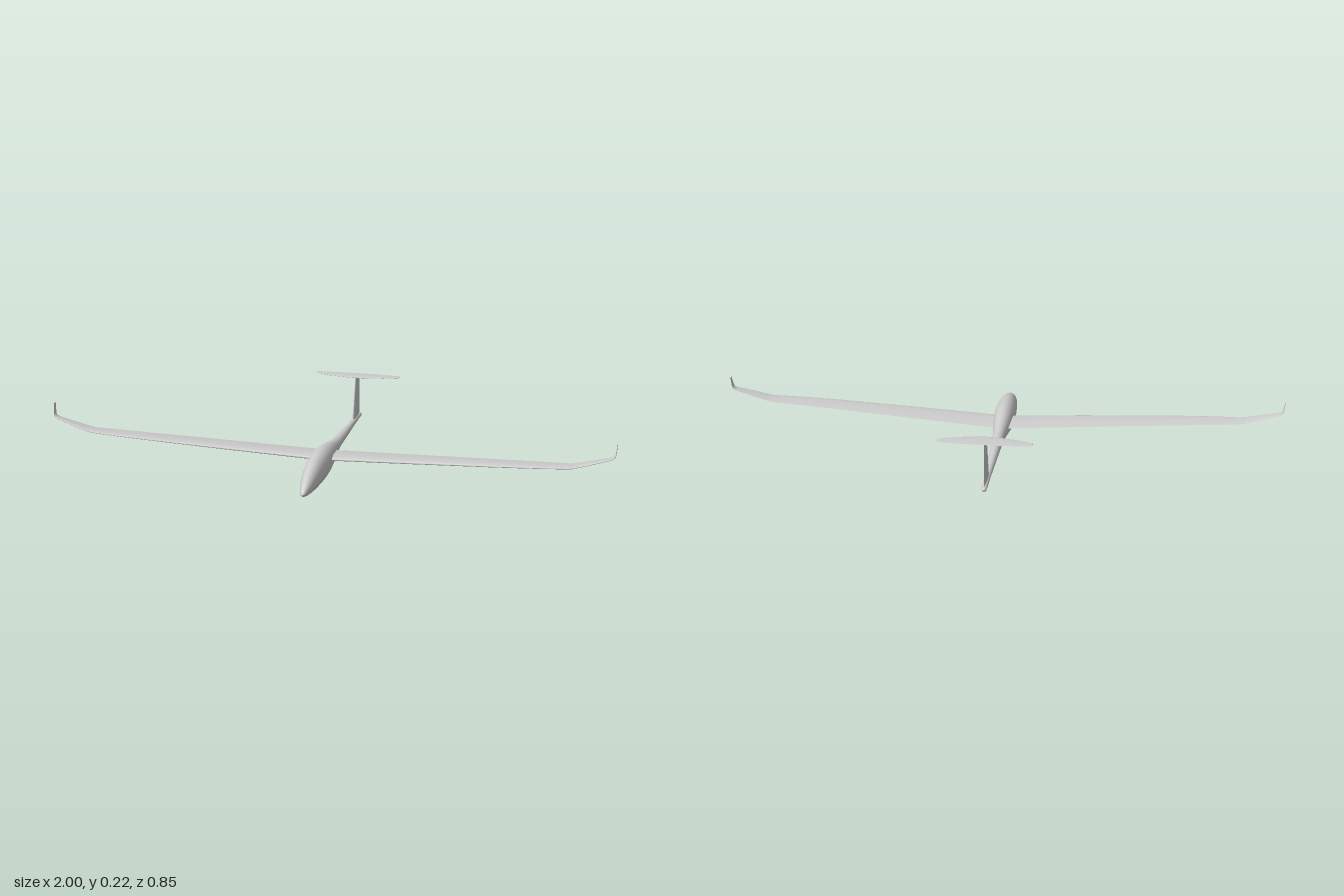
import * as THREE from 'three';

const material = new THREE.MeshStandardMaterial({ color: 0xcccccc, roughness: 0.7 });

// Skins a list of rings (each an array of [x, y, z]) and closes both ends
function loft(name, rings, closed) {
  const pos = [], idx = [];
  const n = rings[0].length;
  const steps = closed ? n : n - 1;
  rings.forEach(r => r.forEach(p => pos.push(...p)));
  for (let i = 0; i < rings.length - 1; i++) {
    for (let j = 0; j < steps; j++) {
      const a = i * n + j, b = i * n + (j + 1) % n;
      idx.push(a, b, a + n, b, b + n, a + n);
    }
  }
  // End caps have their own vertices, so their rims stay sharp
  [rings[0], rings[rings.length - 1]].forEach((ring, end) => {
    const base = pos.length / 3;
    ring.forEach(p => pos.push(...p));
    pos.push(...[0, 1, 2].map(k => ring.reduce((s, p) => s + p[k], 0) / n));
    for (let j = 0; j < steps; j++) {
      const a = base + j, b = base + (j + 1) % n;
      if (end) idx.push(base + n, a, b);
      else idx.push(base + n, b, a);
    }
  });
  const geo = new THREE.BufferGeometry();
  geo.setAttribute('position', new THREE.Float32BufferAttribute(pos, 3));
  geo.setIndex(idx);
  geo.computeVertexNormals();
  const mesh = new THREE.Mesh(geo, material);
  mesh.name = name;
  return mesh;
}

// Airfoil ring: trailing edge, over the top to the leading edge, back underneath.
// cant turns the section about z: 0 for a flat wing, PI / 2 for an upright fin.
function airfoil([x, y, lead, trail, thick, cant = 0]) {
  const ring = [], N = 12;
  for (let j = -N; j <= N; j++) {
    const u = (1 - Math.cos(Math.PI * j / N)) / 2;
    const half = 5 * thick * (0.2969 * Math.sqrt(u) - 0.126 * u - 0.3516 * u ** 2
      + 0.2843 * u ** 3 - 0.1036 * u ** 4);
    const h = j < 0 ? half : -half;
    ring.push([x - Math.sin(cant) * h, y + Math.cos(cant) * h, lead + (trail - lead) * u]);
  }
  return ring;
}

// Mirrors half-span sections (starting at x = 0) into a full span
const fullSpan = half => [
  ...half.slice(1).reverse().map(([x, y, l, t, h, c = 0]) => [-x, y, l, t, h, -c]),
  ...half,
];

function fuselage() {
  // z, bottom, top, half width, from tail to nose
  const sections = [
    [-0.425, 0.053, 0.058, 0.003], [-0.422, 0.049, 0.062, 0.007], [-0.414, 0.047, 0.064, 0.009],
    [-0.3, 0.044, 0.067, 0.011], [-0.18, 0.041, 0.072, 0.015], [-0.06, 0.038, 0.077, 0.019],
    [0, 0.032, 0.084, 0.022], [0.05, 0.024, 0.093, 0.027], [0.1, 0.014, 0.102, 0.033],
    [0.15, 0.006, 0.108, 0.037], [0.2, 0.002, 0.109, 0.038], [0.25, 0.001, 0.104, 0.036],
    [0.3, 0.002, 0.094, 0.032], [0.35, 0.005, 0.077, 0.026], [0.385, 0.009, 0.058, 0.019],
    [0.41, 0.014, 0.041, 0.012], [0.421, 0.018, 0.032, 0.007], [0.426, 0.023, 0.027, 0.002],
  ];
  const rings = sections.map(([z, lo, hi, w]) => Array.from({ length: 32 }, (_, j) => {
    const a = j / 32 * Math.PI * 2;
    return [w * Math.cos(a), (lo + hi) / 2 + (hi - lo) / 2 * Math.sin(a), z];
  }));
  return loft('fuselage', rings, true);
}

export function createModel() {
  const model = new THREE.Group();
  model.name = 'glider';
  model.add(fuselage());

  // Wing with raised outer panels and upright winglets
  // x, y, leading z, trailing z, thickness, cant
  const wing = fullSpan([
    [0, 0.064, 0.164, 0.053, 0.016],
    [0.3, 0.077, 0.172, 0.073, 0.014, 0.04],
    [0.6, 0.09, 0.177, 0.093, 0.011, 0.04],
    [0.75, 0.096, 0.175, 0.102, 0.009, 0.04],
    [0.85, 0.1, 0.168, 0.108, 0.008, 0.12],
    [0.88, 0.107, 0.164, 0.11, 0.007, 0.25],
    [0.94, 0.123, 0.156, 0.114, 0.006, 0.27],
    [0.982, 0.135, 0.148, 0.117, 0.005, 0.35],
    [0.993, 0.141, 0.144, 0.118, 0.004, 0.9],
    [0.996, 0.15, 0.14, 0.117, 0.003, 1.45],
    [0.999, 0.186, 0.127, 0.112, 0.002, 1.5],
  ]);
  model.add(loft('wing', wing.map(airfoil), false));

  // Upright tail fin
  const fin = [
    [0, 0.056, -0.307, -0.419, 0.011, Math.PI / 2],
    [0, 0.215, -0.353, -0.412, 0.007, Math.PI / 2],
  ];
  model.add(loft('tailFin', fin.map(airfoil), false));

  // Tailplane across the top of the fin
  const tailplane = fullSpan([
    [0, 0.216, -0.35, -0.415, 0.006],
    [0.05, 0.216, -0.354, -0.414, 0.006],
    [0.1, 0.216, -0.364, -0.412, 0.005],
    [0.14, 0.216, -0.377, -0.409, 0.004],
    [0.158, 0.216, -0.386, -0.407, 0.003],
  ]);
  model.add(loft('tailplane', tailplane.map(airfoil), false));

  return model;
}
